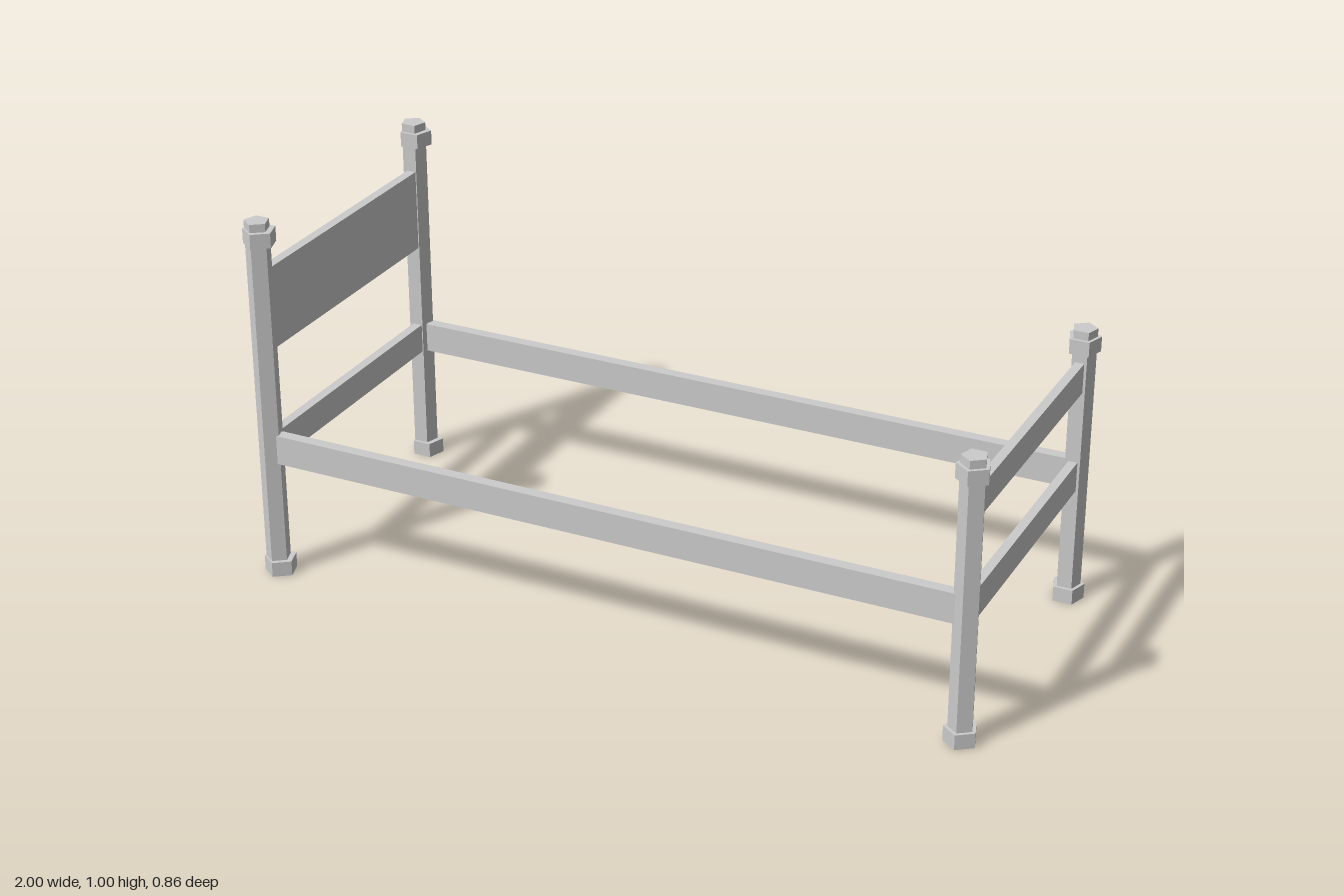
import * as THREE from 'three';

const material = new THREE.MeshStandardMaterial({ color: 0xcccccc, flatShading: true });

export function createModel() {
  const bed = new THREE.Group();
  bed.name = 'bedFrame';

  // Box given by its limits on each axis
  function board(name, [x0, x1], [y0, y1], [z0, z1]) {
    const mesh = new THREE.Mesh(new THREE.BoxGeometry(x1 - x0, y1 - y0, z1 - z0), material);
    mesh.position.set((x0 + x1) / 2, (y0 + y1) / 2, (z0 + z1) / 2);
    mesh.name = name;
    bed.add(mesh);
  }

  // Five-sided upright prism, one corner pointing along +z
  function prism(parent, name, radius, y0, y1, x = 0) {
    const mesh = new THREE.Mesh(new THREE.CylinderGeometry(radius, radius, y1 - y0, 5), material);
    mesh.position.set(x, (y0 + y1) / 2, 0);
    mesh.name = name;
    parent.add(mesh);
  }

  // Post with a foot collar and a collar just below its top
  function post(name, x, side, height, shaftShift) {
    const group = new THREE.Group();
    group.name = name;
    prism(group, 'shaft', 0.0335, 0.002, height, shaftShift * side);
    prism(group, 'footCollar', 0.0437, 0, 0.041);
    prism(group, 'topCollar', 0.0437, height - 0.062, height - 0.022);
    group.position.set(x, 0, 0.386 * side);
    group.rotation.y = side > 0 ? 0 : Math.PI; // corner points outward
    bed.add(group);
  }

  const railY = [0.326, 0.407];
  for (const side of [1, -1]) {
    const label = side > 0 ? 'front' : 'back';
    post(label + 'HeadPost', -0.958, side, 0.998, -0.006);
    post(label + 'FootPost', 0.958, side, 0.77, 0);
    // Long side rails
    board(label + 'SideRail', [-0.938, 0.935], railY, side > 0 ? [0.37, 0.401] : [-0.401, -0.37]);
  }

  // Cross pieces between the posts
  const headX = [-0.973, -0.947], footX = [0.947, 0.971], span = [-0.37, 0.37];
  board('headEndRail', headX, railY, span);
  board('footEndRail', footX, railY, span);
  board('headboard', headX, [0.64, 0.864], span);
  board('footboardRail', footX, [0.603, 0.684], span);

  return bed;
}
